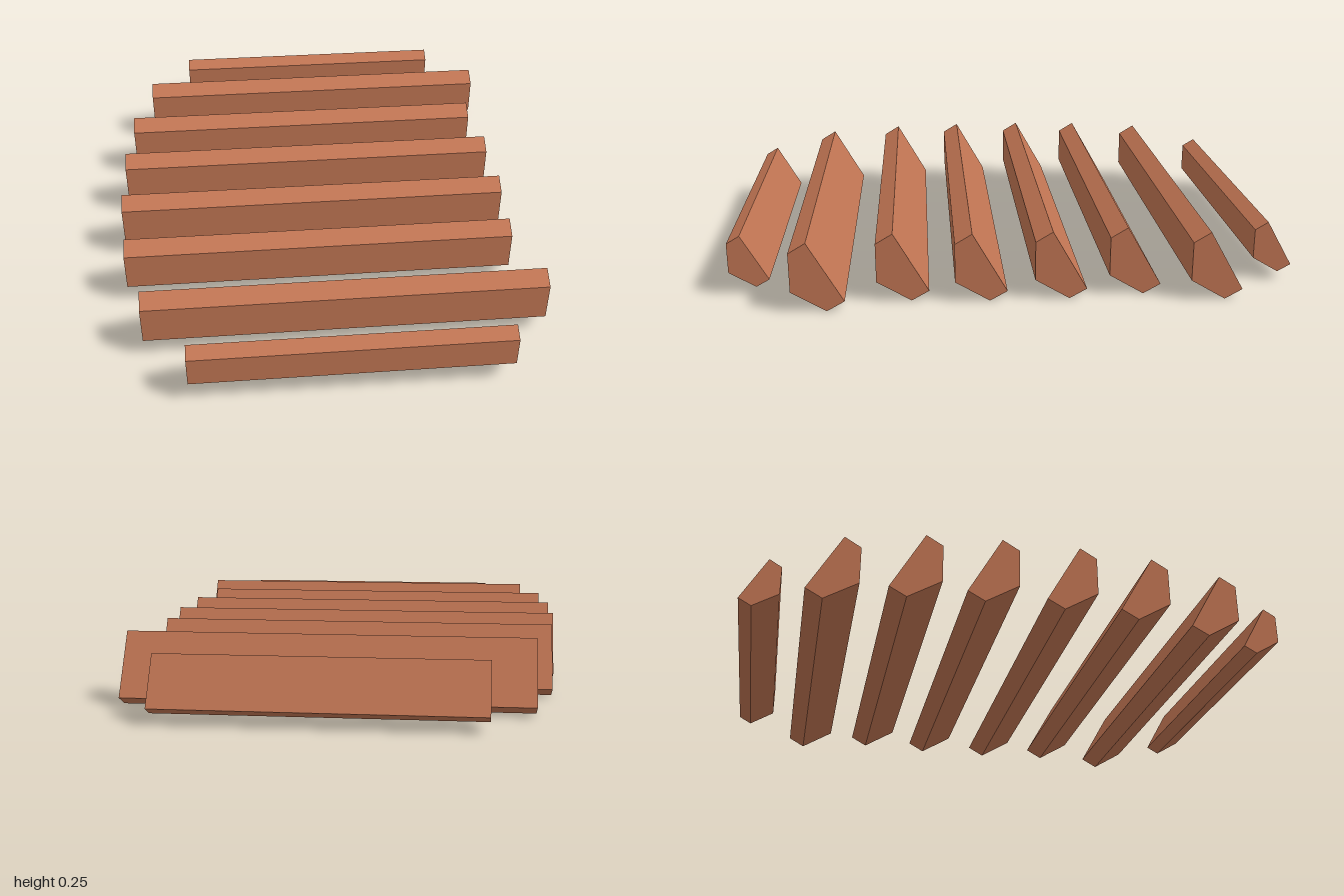
import * as THREE from 'three';

// Five-sided slat section: [distance back from the front face, height]
const PROFILE = [[0, 0.072], [0.12, 0], [0.181, 0.034], [0.06, 0.247], [0, 0.211]];
const MID_HEIGHT = 0.126;

// Slats from front to back: [front z, left end x, right end x, section scale]
const SLATS = [
  [1.0, -0.51, 0.595, 0.77],
  [0.772, -0.667, 0.755, 1],
  [0.486, -0.735, 0.688, 1],
  [0.216, -0.757, 0.71, 1],
  [-0.061, -0.757, 0.71, 1],
  [-0.324, -0.735, 0.688, 1],
  [-0.598, -0.667, 0.755, 1],
  [-0.861, -0.51, 0.595, 0.77],
];

export function createModel() {
  const model = new THREE.Group();
  model.name = 'slats';
  const wood = new THREE.MeshStandardMaterial({ color: 0xc27654, flatShading: true });

  SLATS.forEach(([front, x0, x1, scale], i) => {
    // Smaller end slats shrink about the shared mid height
    const section = new THREE.Shape(PROFILE.map(([d, y]) =>
      new THREE.Vector2(d * scale, MID_HEIGHT + (y - MID_HEIGHT) * scale)));
    const geometry = new THREE.ExtrudeGeometry(section, { depth: x1 - x0, bevelEnabled: false });
    geometry.rotateY(Math.PI / 2); // extrusion runs along x, section depth along -z

    const slat = new THREE.Mesh(geometry, wood);
    slat.name = `slat${i + 1}`;
    slat.position.set(x0, 0, front);
    model.add(slat);
  });
  return model;
}
